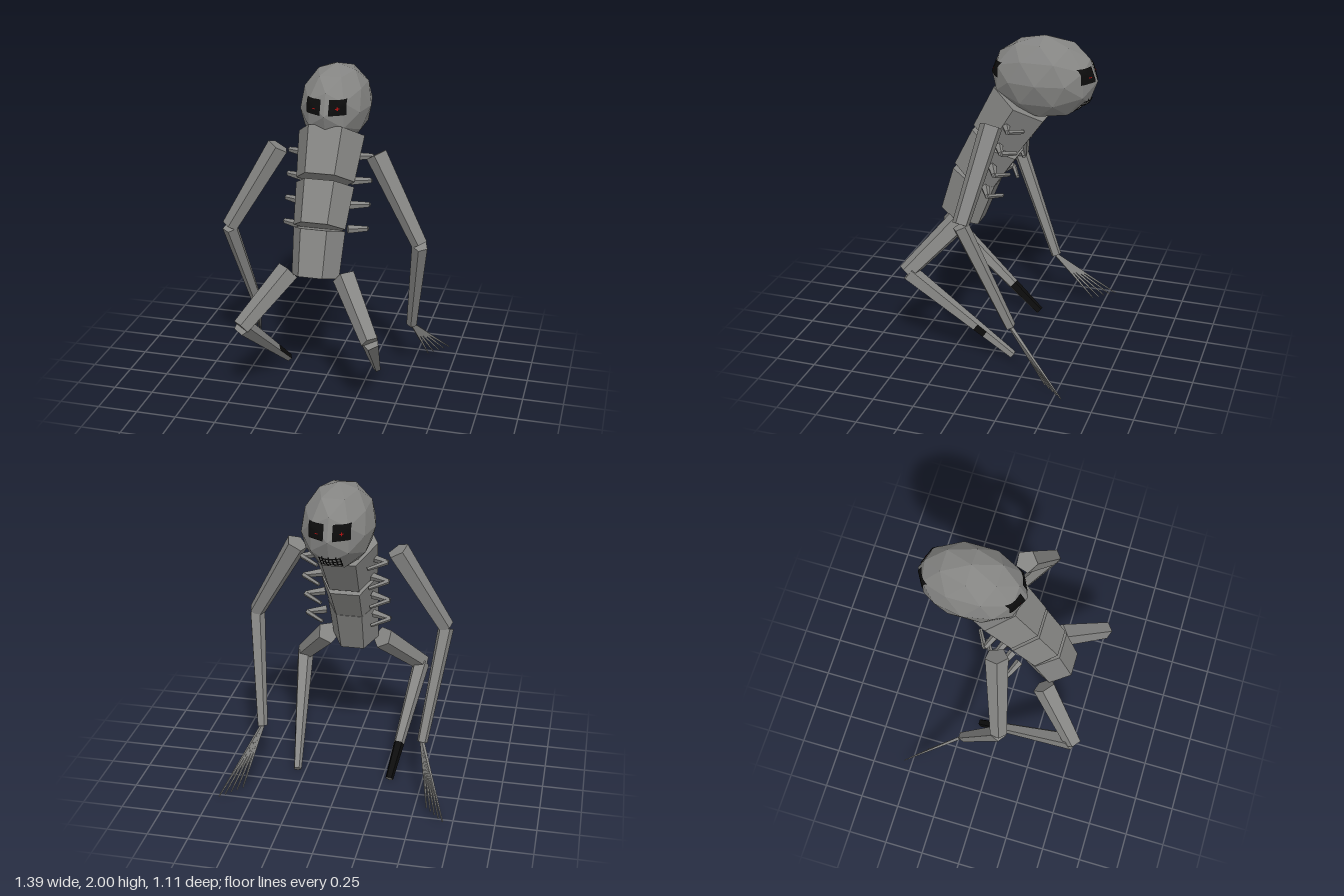
import * as THREE from 'three';

const mat = (name, color) => Object.assign(new THREE.MeshStandardMaterial({ color }), { name });
const V = (x, y, z) => new THREE.Vector3(x, y, z);

// Faceted tapering prism between two points
function prism(a, b, ra, rb, sides, roll = 0) {
  const dir = b.clone().sub(a);
  const len = dir.length();
  const indexed = new THREE.CylinderGeometry(rb, ra, len, sides, 1);
  const g = indexed.toNonIndexed();
  g.clearGroups();
  g.rotateY(roll);
  g.applyQuaternion(new THREE.Quaternion().setFromUnitVectors(V(0, 1, 0), dir.normalize()));
  const mid = a.clone().add(b).multiplyScalar(0.5);
  g.translate(mid.x, mid.y, mid.z);
  g.computeVertexNormals();
  return g;
}

export function createModel() {
  const model = new THREE.Group();
  model.name = 'crouchingCreature';
  const skin = mat('greySkin', 0x858583);
  const black = mat('black', 0x0c0c0c);
  black.side = THREE.DoubleSide;
  const red = mat('redPupil', 0xb01010);
  red.side = THREE.DoubleSide;

  const add = (name, geometry, material = skin, parent = model) => {
    const mesh = new THREE.Mesh(geometry, material);
    mesh.name = name;
    parent.add(mesh);
    return mesh;
  };
  const group = (name) => {
    const g = new THREE.Group();
    g.name = name;
    model.add(g);
    return g;
  };

  // Torso: three hexagonal blocks bending backwards, wedge gaps in front
  const hex = Math.PI / 6;
  add('lowerTorso', prism(V(0, 0.815, 0.28), V(0, 1.085, 0.185), 0.146, 0.16, 6, hex));
  add('middleTorso', prism(V(0, 1.097, 0.185), V(0, 1.32, 0.053), 0.16, 0.18, 6, hex));
  add('upperTorso', prism(V(0, 1.35, 0.045), V(0, 1.595, -0.105), 0.18, 0.205, 6, hex));

  // Head: faceted egg
  const headGeo = new THREE.IcosahedronGeometry(1, 1);
  headGeo.scale(0.215, 0.25, 0.322);
  headGeo.translate(0, 1.75, -0.233);
  headGeo.computeVertexNormals();
  const head = add('head', headGeo);

  // Thin patch laid on the head surface, seen from +z or -z
  const ray = new THREE.Raycaster();
  function patch(name, x, y, w, h, face, material, lift, shape) {
    const g = shape || new THREE.PlaneGeometry(w, h, 8, 8);
    const p = g.attributes.position;
    for (let i = 0; i < p.count; i++) {
      const px = x + p.getX(i), py = y + p.getY(i);
      ray.set(V(px, py, face * 3), V(0, 0, -face));
      const hit = ray.intersectObject(head)[0];
      p.setXYZ(i, px, py, (hit ? hit.point.z : -0.233) + face * lift);
    }
    if (face < 0) {
      const idx = g.index.array;
      for (let i = 0; i < idx.length; i += 3) [idx[i], idx[i + 1]] = [idx[i + 1], idx[i]];
    }
    g.computeVertexNormals();
    add(name, g, material);
  }
  head.updateMatrixWorld();

  // Eyes on both ends of the head
  for (const face of [1, -1]) {
    for (const s of [1, -1]) {
      patch('eye', s * 0.073, 1.8, 0.095, 0.092, face, black, 0.006);
    }
    patch('pupil', face * 0.075, 1.795, 0.022, 0.006, face, red, 0.009);
    patch('pupil', face * 0.075, 1.795, 0.006, 0.022, face, red, 0.009);
    patch('pupil', face * -0.068, 1.79, 0.022, 0.005, face, red, 0.009);
  }

  // Toothed mouth at the back-facing end
  for (const y of [1.585, 1.612, 1.638]) patch('mouthLine', 0, y, 0.13, 0.009, -1, black, 0.006);
  for (let i = 0; i < 7; i++) {
    patch('toothGap', -0.06 + i * 0.02, 1.61 + (i % 2 ? 0.006 : -0.006), 0.008, 0.075, -1, black, 0.006);
  }

  for (const s of [1, -1]) {
    const side = s > 0 ? 'left' : 'right';
    const P = (x, y, z) => V(s * x, y, z);

    // Ribs: out from the side, then folding back inwards
    const ribs = group(side + 'Ribs');
    for (let i = 0; i < 4; i++) {
      const y = 1.48 - i * 0.14, z = -0.04 + i * 0.042;
      const bend = P(0.26, y - 0.005, z - 0.05);
      add('ribOuter', prism(P(0.15, y, z), bend, 0.027, 0.016, 5), skin, ribs);
      add('ribInner', prism(bend, P(0.15, y - 0.035, z - 0.11), 0.016, 0.012, 5), skin, ribs);
    }

    // Arm
    const arm = group(side + 'Arm');
    const wrist = P(0.507, 0.345, -0.185);
    add('upperArm', prism(P(0.595, 1.01, 0.087), P(0.305, 1.52, -0.005), 0.052, 0.07, 5), skin, arm);
    add('forearm', prism(wrist, P(0.595, 1.0, 0.087), 0.034, 0.05, 5), skin, arm);

    // Long fanned fingers
    for (let i = 0; i < 5; i++) {
      const tip = P(0.577 + i * 0.029, 0.025, -0.425 - i * 0.032);
      add('finger', prism(tip, wrist, 0.004, 0.014, 4), skin, arm);
    }

    // Leg
    const leg = group(side + 'Leg');
    add('thigh', prism(P(0.395, 0.54, 0.515), P(0.175, 0.82, 0.255), 0.056, 0.074, 5), skin, leg);
    const knee = P(0.39, 0.54, 0.5), foot = P(0.297, 0.025, -0.135);

    // Shin in sections, dark facets near the foot
    const cuts = s > 0 ? [0, 0.64, 0.73, 1] : [0, 0.7, 1];
    const dark = s > 0 ? (n) => n.x > 0.6 : (n) => n.y > -0.3;
    for (let k = 0; k + 1 < cuts.length; k++) {
      const [t0, t1] = [cuts[k], cuts[k + 1]];
      const at = (t) => knee.clone().lerp(foot, t);
      const radius = (t) => 0.056 - 0.03 * t;
      const g = prism(at(t1), at(t0), radius(t1), radius(t0), 5);
      if (k !== 1) {
        add('shin', g, skin, leg);
        continue;
      }
      const n = V(0, 0, 0);
      for (let f = 0; f < 5; f++) {
        n.fromBufferAttribute(g.attributes.normal, f * 6);
        g.addGroup(f * 6, 6, dark(n) ? 1 : 0);
      }
      g.addGroup(30, g.attributes.position.count - 30, 0);
      add('markedShin', g, [skin, black], leg);
    }
  }
  return model;
}
